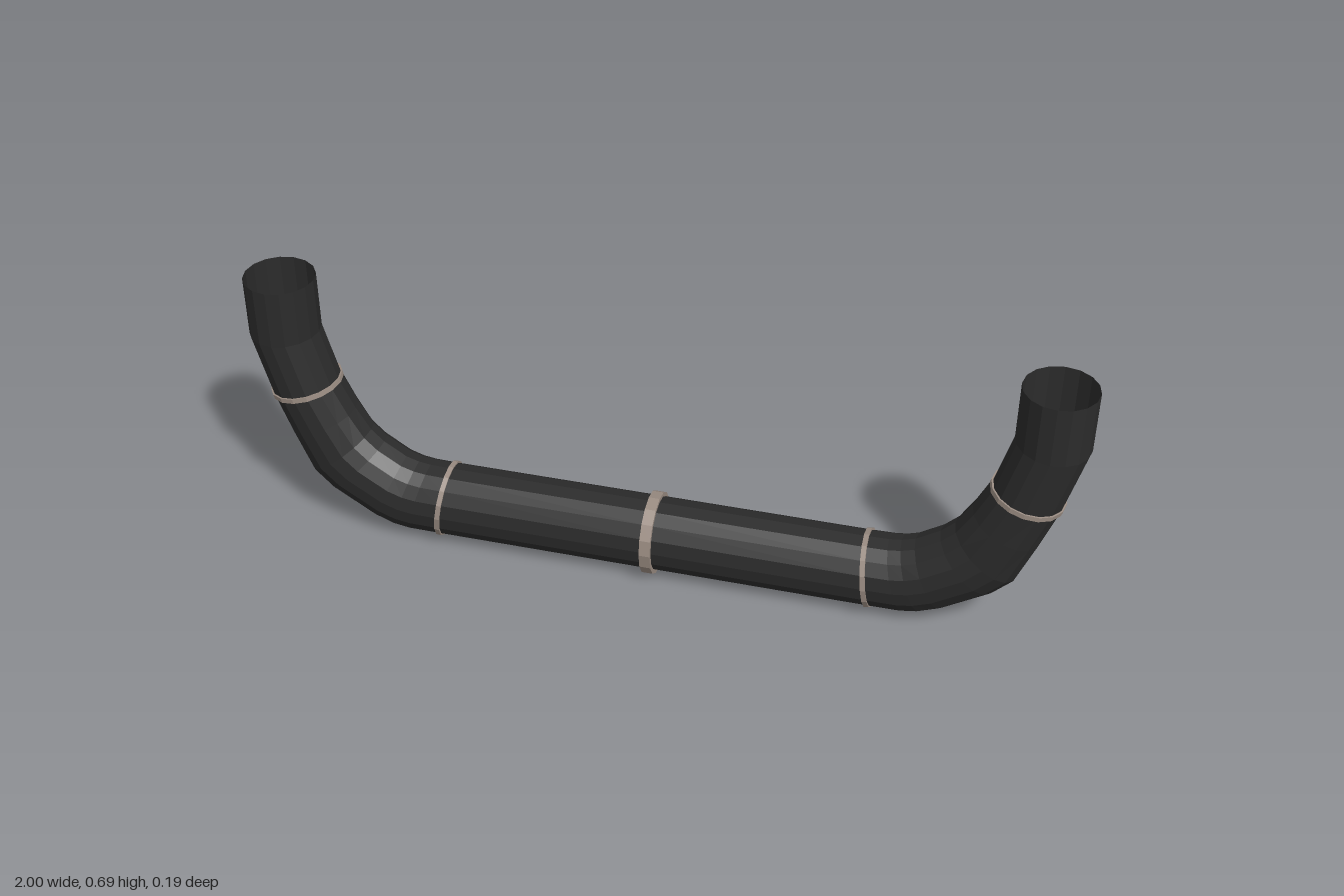
import * as THREE from 'three';

const SIDES = 16;
const RZ = 0.087; // pipe half-depth in z

const pipeMat = new THREE.MeshStandardMaterial({ color: 0x2b2b2b, flatShading: true, side: THREE.DoubleSide });
const bandMat = new THREE.MeshStandardMaterial({ color: 0x9a8c82, flatShading: true, side: THREE.DoubleSide });

// Cross-section from its outer and inner point on the bend
function section(ox, oy, ix, iy) {
  return { cx: (ox + ix) / 2, cy: (oy + iy) / 2, dx: (ox - ix) / 2, dy: (oy - iy) / 2, rz: RZ };
}

// Same section enlarged and moved along the pipe
function offset(s, scale, shift) {
  const len = Math.hypot(s.dx, s.dy);
  return {
    cx: s.cx - (s.dy / len) * shift, cy: s.cy + (s.dx / len) * shift,
    dx: s.dx * scale, dy: s.dy * scale, rz: s.rz * scale,
  };
}

const mirror = (list) => list.map((s) => ({ ...s, cx: -s.cx, dx: -s.dx })).reverse();

// Skin a row of elliptical sections
function loft(name, list, material) {
  const pos = [], index = [];
  list.forEach((s, i) => {
    for (let j = 0; j < SIDES; j++) {
      const a = (j / SIDES) * Math.PI * 2, c = Math.cos(a);
      pos.push(s.cx + s.dx * c, s.cy + s.dy * c, s.rz * Math.sin(a));
      if (i === list.length - 1) continue;
      const k = (j + 1) % SIDES, p = i * SIDES, q = p + SIDES;
      index.push(p + j, q + j, p + k, p + k, q + j, q + k);
    }
  });
  let geo = new THREE.BufferGeometry();
  geo.setAttribute('position', new THREE.Float32BufferAttribute(pos, 3));
  geo.setIndex(index);
  geo = geo.toNonIndexed();
  geo.computeVertexNormals();
  const mesh = new THREE.Mesh(geo, material);
  mesh.name = name;
  return mesh;
}

// Band profile: side wall, outer face, side wall
function bandSections(s, scale, width) {
  const h = width / 2;
  return [offset(s, 0.98, -h), offset(s, scale, -h), offset(s, scale, h), offset(s, 0.98, h)];
}

export function createModel() {
  const group = new THREE.Group();

  const middle = section(0, 0.0125, 0, 0.1985);
  const lowJoint = section(0.54, 0.0125, 0.517, 0.1985);
  const highJoint = section(0.957, 0.378, 0.791, 0.414);

  // Straight lower pipe
  group.add(loft('lowerPipe', [...mirror([lowJoint]), middle, lowJoint], pipeMat));

  const elbow = [
    lowJoint,
    section(0.623, 0.013, 0.57, 0.2),
    section(0.665, 0.02, 0.6, 0.204),
    section(0.714, 0.04, 0.632, 0.214),
    section(0.826, 0.11, 0.687, 0.249),
    section(0.874, 0.158, 0.719, 0.28),
    section(0.918, 0.27, 0.754, 0.338),
    highJoint,
  ];
  const upright = [
    highJoint,
    section(1, 0.538, 0.828, 0.548),
    section(1, 0.69, 0.828, 0.69),
  ];

  // Bends, uprights and joint bands on both ends
  for (const [side, place] of [['left', (l) => l], ['right', mirror]]) {
    group.add(loft(side + 'Elbow', place(elbow), pipeMat));
    group.add(loft(side + 'Upright', place(upright), pipeMat));
    group.add(loft(side + 'LowerBand', place(bandSections(lowJoint, 1.05, 0.012)), bandMat));
    group.add(loft(side + 'UpperBand', place(bandSections(highJoint, 1.05, 0.012)), bandMat));
  }

  // Wider clamp at the centre
  group.add(loft('centreClamp', bandSections({ ...middle, cy: 0.1045 }, 1.12, 0.027), bandMat));

  return group;
}
